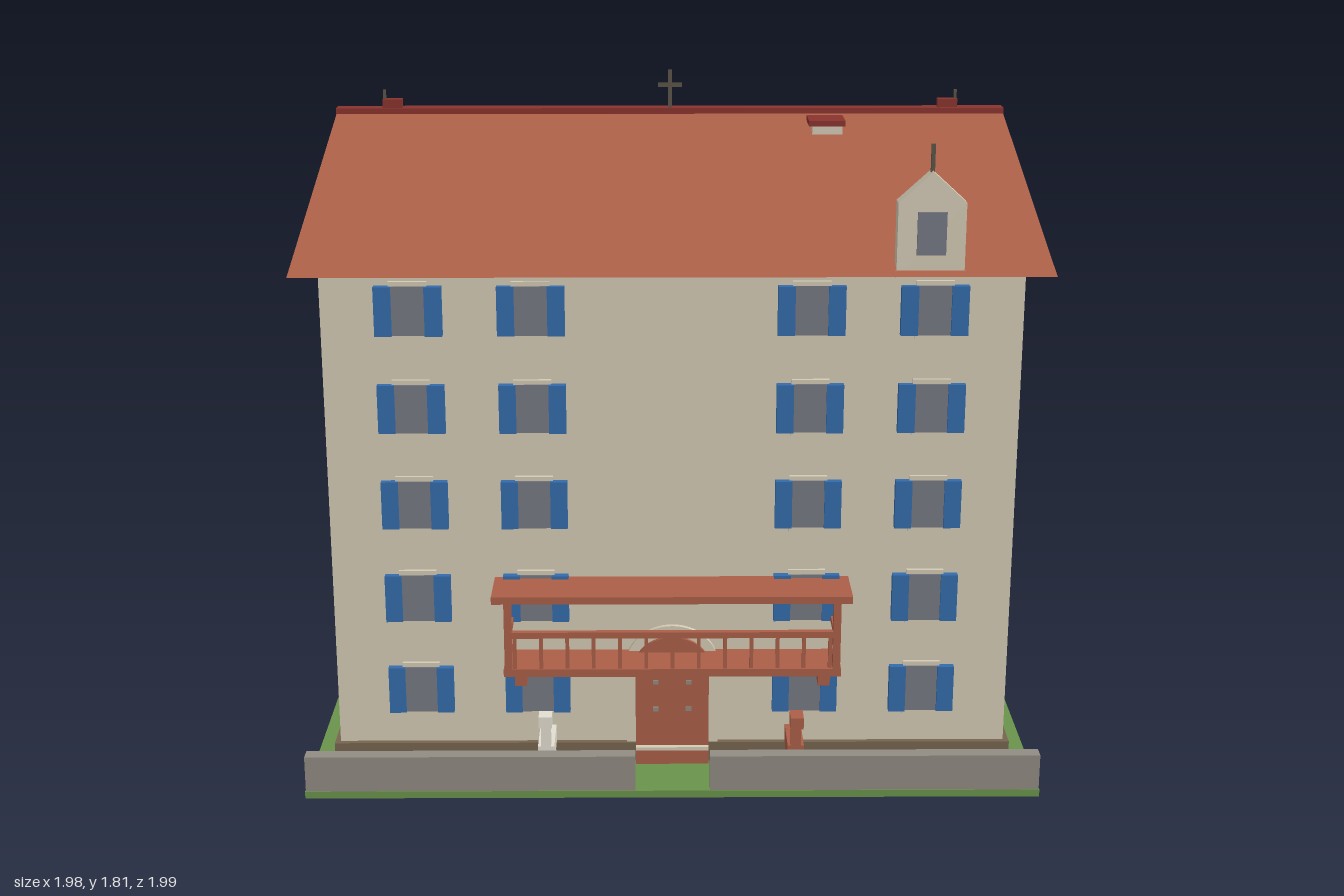
import * as THREE from 'three';

const mat = (name, color) => {
  const m = new THREE.MeshStandardMaterial({ color });
  m.name = name;
  return m;
};

export function createModel() {
  const root = new THREE.Group();
  root.name = 'apartmentHouse';
  const plaster = mat('cream plaster', 0xd5cbb6);
  const terracotta = mat('terracotta', 0xab5f47);
  const red = mat('ridge red', 0x8a332d);
  const glass = mat('grey glass', 0x777984);
  const blue = mat('shutter blue', 0x336bab);
  const grass = mat('grass green', 0x69934a);
  const stone = mat('wall stone', 0x918b83);
  const plinthBrown = mat('plinth brown', 0x76654f);
  const iron = mat('dark iron', 0x5b5448);
  const white = mat('white fur', 0xe2ddd0);

  // Box given by its min and max on each axis
  const box = (name, m, x0, x1, y0, y1, z0, z1, parent = root) => {
    const mesh = new THREE.Mesh(new THREE.BoxGeometry(x1 - x0, y1 - y0, z1 - z0), m);
    mesh.position.set((x0 + x1) / 2, (y0 + y1) / 2, (z0 + z1) / 2);
    mesh.name = name;
    parent.add(mesh);
    return mesh;
  };
  const group = (name) => {
    const g = new THREE.Group();
    g.name = name;
    root.add(g);
    return g;
  };
  const polygon = (pts) => new THREE.Shape(pts.map(([a, b]) => new THREE.Vector2(a, b)));
  // Front-facing shape extruded from z0 to z1
  const extrudeZ = (name, m, shape, z0, z1, parent = root) => {
    const geo = new THREE.ExtrudeGeometry(shape, { depth: z1 - z0, bevelEnabled: false, curveSegments: 16 });
    geo.translate(0, 0, z0);
    const mesh = new THREE.Mesh(geo, m);
    mesh.name = name;
    parent.add(mesh);
  };
  // Cross-section in (z, y) extruded from x0 to x1
  const extrudeX = (name, m, pts, x0, x1, parent = root) => {
    const shape = polygon(pts.map(([z, y]) => [-z, y]));
    const geo = new THREE.ExtrudeGeometry(shape, { depth: x1 - x0, bevelEnabled: false });
    geo.rotateY(Math.PI / 2).translate(x0, 0, 0);
    const mesh = new THREE.Mesh(geo, m);
    mesh.name = name;
    parent.add(mesh);
  };

  // Ground, plinth and main block
  box('lawn', grass, -0.985, 0.985, 0, 0.02, -0.97, 1);
  box('plinth', plinthBrown, -0.93, 0.93, 0.02, 0.075, -0.935, 0.825);
  box('mainWalls', plaster, -0.915, 0.915, 0.07, 1.408, -0.92, 0.81);

  // Garden wall with a gate gap
  for (const s of [-1, 1]) {
    const [a, b] = s < 0 ? [-0.983, -0.1] : [0.1, 0.983];
    box('gardenWall', stone, a, b, 0.02, 0.12, 0.96, 0.998);
  }

  // Roof with plastered gables, attic windows and ridge cap
  const ridgeZ = -0.055;
  extrudeX('roof', terracotta, [[0.88, 1.405], [ridgeZ, 1.69], [-0.99, 1.405]], -0.983, 0.983);
  const gable = [[0.82, 1.409], [ridgeZ, 1.635], [-0.93, 1.409]];
  for (const s of [-1, 1]) {
    const span = (a, b) => (s > 0 ? [a, b] : [-b, -a]);
    extrudeX('gableWall', plaster, gable, ...span(0.982, 0.985));
    box('atticWindow', glass, ...span(0.984, 0.992), 1.43, 1.51, -0.095, -0.015);
    // Ridge ornaments
    box('ridgeOrnament', red, ...span(0.79, 0.848), 1.695, 1.725, -0.068, -0.045);
    box('ridgeSpike', iron, ...span(0.838, 0.846), 1.725, 1.752, -0.06, -0.05);
  }
  box('ridgeCap', red, -0.984, 0.984, 1.672, 1.7, -0.085, -0.033);

  // Ridge cross
  const cross = group('ridgeCross');
  box('crossUpright', iron, -0.006, 0.006, 1.7, 1.81, -0.061, -0.049, cross);
  box('crossBar', iron, -0.035, 0.035, 1.76, 1.772, -0.06, -0.05, cross);

  // Chimneys
  box('frontChimney', plaster, 0.41, 0.497, 1.642, 1.67, 0.01, 0.1);
  box('frontChimneyCap', red, 0.4, 0.505, 1.668, 1.684, 0, 0.11);
  box('backChimney', plaster, -0.5, -0.415, 1.62, 1.642, -0.23, -0.195);
  box('backChimneyCap', red, -0.51, -0.405, 1.637, 1.65, -0.235, -0.19);

  // Dormer
  const dormer = group('dormer');
  extrudeZ('dormerBody', plaster,
    polygon([[0.575, 1.395], [0.75, 1.395], [0.75, 1.59], [0.662, 1.67], [0.575, 1.59]]), 0.8, 0.845, dormer);
  box('dormerSill', plaster, 0.572, 0.752, 1.395, 1.415, 0.8, 0.85, dormer);
  box('dormerWindow', glass, 0.625, 0.7, 1.455, 1.567, 0.844, 0.851, dormer);
  box('dormerSpike', iron, 0.657, 0.667, 1.66, 1.738, 0.818, 0.828, dormer);

  // Windows on all floors: shuttered in front, plain at both sides
  const windows = group('windows');
  for (const y of [0.235, 0.503, 0.77, 1.037, 1.302]) {
    for (const x of [-0.685, -0.367, 0.362, 0.681]) {
      box('frontWindowFrame', plaster, x - 0.05, x + 0.05, y - 0.078, y + 0.078, 0.805, 0.82, windows);
      box('frontWindowPane', glass, x - 0.043, x + 0.043, y - 0.066, y + 0.066, 0.819, 0.823, windows);
      for (const s of [-1, 1]) {
        const c = x + s * 0.0655;
        box('shutter', blue, c - 0.0225, c + 0.0225, y - 0.066, y + 0.066, 0.808, 0.83, windows);
      }
    }
    for (const z of [0.595, 0.162, -0.272, -0.705]) {
      for (const s of [-1, 1]) {
        const span = (a, b) => (s > 0 ? [a, b] : [-b, -a]);
        box('sideWindowFrame', plaster, ...span(0.91, 0.925), y - 0.085, y + 0.08, z - 0.067, z + 0.067, windows);
        box('sideWindowPane', glass, ...span(0.924, 0.93), y - 0.066, y + 0.066, z - 0.05, z + 0.05, windows);
      }
    }
  }

  // Arched door with surround and step
  const arch = (w, y0, ySpring, rise) => {
    const s = new THREE.Shape();
    s.moveTo(-w, y0);
    s.lineTo(w, y0);
    s.lineTo(w, ySpring);
    s.absellipse(0, ySpring, w, rise, 0, Math.PI, false);
    return s;
  };
  const door = group('door');
  extrudeZ('doorSurround', plaster, arch(0.125, 0.076, 0.31, 0.11), 0.805, 0.822, door);
  extrudeZ('doorLeaf', terracotta, arch(0.1, 0.068, 0.31, 0.08), 0.81, 0.832, door);
  box('doorSill', plaster, -0.1, 0.1, 0.06, 0.07, 0.81, 0.845, door);
  box('doorStep', terracotta, -0.1, 0.1, 0.02, 0.06, 0.81, 0.845, door);
  for (const x of [-0.045, 0.045]) {
    for (const y of [0.18, 0.26]) box('doorStud', stone, x - 0.008, x + 0.008, y - 0.006, y + 0.006, 0.83, 0.836, door);
  }

  // Timber balcony
  const balcony = group('balcony');
  const beam = (name, ...d) => box(name, terracotta, ...d, balcony);
  beam('balconyFloor', -0.45, 0.45, 0.325, 0.347, 0.81, 0.94);
  beam('balconyCanopy', -0.478, 0.475, 0.54, 0.56, 0.81, 0.956);
  beam('handrail', -0.445, 0.445, 0.435, 0.452, 0.922, 0.938);
  for (const s of [-1, 1]) {
    beam('balconyPost', s * 0.437 - 0.01, s * 0.437 + 0.01, 0.345, 0.542, 0.92, 0.94);
    beam('sideRail', s * 0.437 - 0.008, s * 0.437 + 0.008, 0.435, 0.452, 0.81, 0.925);
    beam('bracket', s * 0.407 - 0.016, s * 0.407 + 0.016, 0.285, 0.327, 0.81, 0.91);
  }
  for (let i = -6; i <= 6; i++) {
    const x = i * 0.07;
    beam('baluster', x - 0.005, x + 0.005, 0.345, 0.437, 0.925, 0.935);
  }

  // Two dogs behind the garden wall
  const dog = (name, m, x, w, zHead) => {
    const g = group(name);
    box('dogBody', m, x - w, x + w, 0.078, 0.127, 0.82, 0.95, g);
    box('dogNeck', m, x - w * 0.6, x + w * 0.6, 0.12, 0.2, 0.93, 0.952, g);
    box('dogHead', m, x - w * 0.8, x + w * 0.8, 0.192, 0.224, 0.935, zHead, g);
    for (const z of [0.838, 0.925]) {
      for (const s of [-1, 1]) {
        const c = x + s * w * 0.65;
        box('dogLeg', m, c - 0.006, c + 0.006, 0.02, 0.08, z - 0.007, z + 0.007, g);
      }
    }
  };
  dog('brownDog', terracotta, 0.332, 0.022, 0.985);
  dog('whiteDog', white, -0.34, 0.022, 0.975);

  return root;
}
